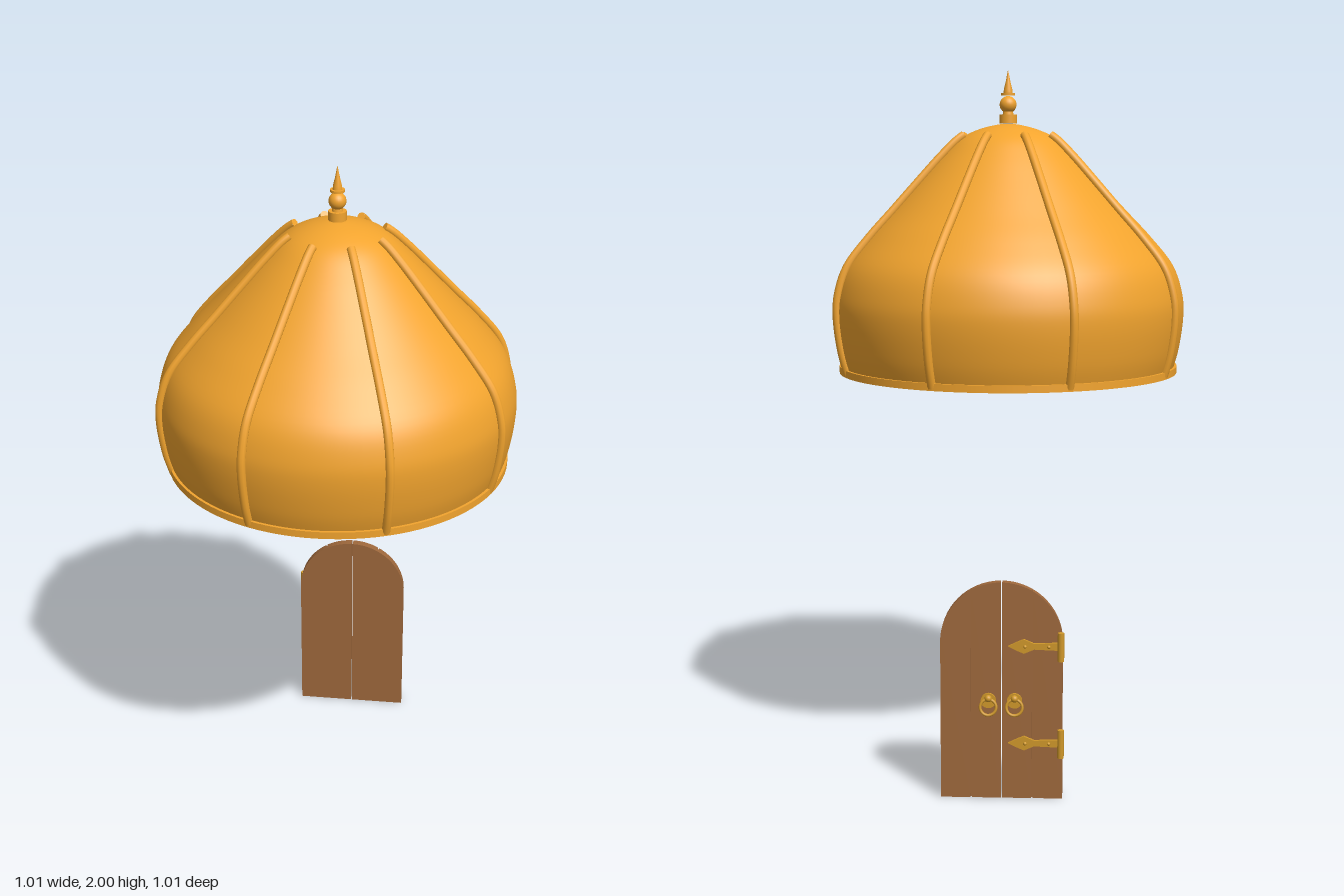
import * as THREE from 'three';

const gold = new THREE.MeshStandardMaterial({ color: 0xf2a42e });
const brass = new THREE.MeshStandardMaterial({ color: 0xd0982a });
const wood = new THREE.MeshStandardMaterial({ color: 0x9e683c });

// Dome radius and height, from rim to apex
const domeCurve = new THREE.SplineCurve([
  [0.474, 1.145], [0.492, 1.21], [0.504, 1.3], [0.5, 1.37], [0.472, 1.45], [0.408, 1.53],
  [0.337, 1.605], [0.262, 1.685], [0.195, 1.755], [0.14, 1.805], [0.085, 1.832], [0.03, 1.846], [0, 1.848],
].map(([r, y]) => new THREE.Vector2(r, y)));

function add(parent, name, geometry, material, x = 0, y = 0, z = 0) {
  const mesh = new THREE.Mesh(geometry, material);
  mesh.name = name;
  mesh.position.set(x, y, z);
  parent.add(mesh);
  return mesh;
}

function makeRoof() {
  const roof = new THREE.Group();
  roof.name = 'roof';
  add(roof, 'dome', new THREE.LatheGeometry(domeCurve.getPoints(60), 96), gold);
  add(roof, 'rimBand', new THREE.CylinderGeometry(0.487, 0.487, 0.02, 96), gold, 0, 1.152);

  // Eight ribs following the dome, stopping short of the apex
  const path = domeCurve.getPoints(60).filter((p) => p.x > 0.122)
    .map((p) => new THREE.Vector3(p.x + 0.004, p.y + 0.004, 0));
  const curve = new THREE.CatmullRomCurve3(path);
  const tube = new THREE.TubeGeometry(curve, 60, 0.012, 10);
  const ends = [0, 1].map((t) => ({ point: curve.getPoint(t), dir: curve.getTangent(t).multiplyScalar(t ? 1 : -1) }));
  for (let i = 0; i < 8; i++) {
    const rib = new THREE.Group();
    rib.name = 'rib';
    add(rib, 'ribBar', tube, gold);
    for (const { point, dir } of ends) {
      const cap = add(rib, 'ribEnd', new THREE.CircleGeometry(0.012, 10), gold, point.x, point.y, point.z);
      cap.quaternion.setFromUnitVectors(new THREE.Vector3(0, 0, 1), dir);
    }
    rib.rotation.y = ((i + 0.5) * Math.PI) / 4;
    roof.add(rib);
  }

  // Finial: collar, ball, disc and spike
  const finial = new THREE.Group();
  finial.name = 'finial';
  add(finial, 'collar', new THREE.CylinderGeometry(0.025, 0.025, 0.025, 32), gold, 0, 1.862);
  add(finial, 'neck', new THREE.CylinderGeometry(0.013, 0.016, 0.02, 24), gold, 0, 1.88);
  add(finial, 'ball', new THREE.SphereGeometry(0.024, 24, 16), gold, 0, 1.902);
  add(finial, 'disc', new THREE.CylinderGeometry(0.02, 0.02, 0.007, 24), gold, 0, 1.931);
  add(finial, 'spike', new THREE.LatheGeometry([[0.013, 1.932], [0.012, 1.945], [0.007, 1.965], [0.003, 1.985], [0, 2]]
    .map(([r, y]) => new THREE.Vector2(r, y)), 20), gold);
  roof.add(finial);
  return roof;
}

// Vertical strip of an arched door between x0 and x1
function archStrip(x0, x1, depth) {
  const R = 0.168, spring = 0.444, n = 16;
  const points = [new THREE.Vector2(x0, 0), new THREE.Vector2(x1, 0)];
  const a1 = Math.acos(x1 / R), a0 = Math.acos(x0 / R);
  for (let i = 0; i <= n; i++) {
    const a = a1 + ((a0 - a1) * i) / n;
    points.push(new THREE.Vector2(R * Math.cos(a), spring + R * Math.sin(a)));
  }
  return new THREE.ExtrudeGeometry(new THREE.Shape(points), { depth, bevelEnabled: false });
}

function makeHinge(y) {
  const hinge = new THREE.Group();
  hinge.name = 'hinge';
  hinge.position.set(0, y, -0.41);
  const half = [[-0.165, 0.011], [-0.09, 0.008], [-0.062, 0.02], [-0.045, 0.013], [-0.018, 0]];
  const outline = [...half, ...half.slice(0, -1).reverse().map(([x, h]) => [x, -h])];
  const shape = new THREE.Shape(outline.map(([x, h]) => new THREE.Vector2(x, h)));
  add(hinge, 'strap', new THREE.ExtrudeGeometry(shape, { depth: 0.009, bevelEnabled: false }), brass, 0, 0, -0.008);
  add(hinge, 'barrel', new THREE.CylinderGeometry(0.009, 0.009, 0.08, 16), brass, -0.163, 0, -0.009);
  for (const x of [-0.13, -0.065]) {
    add(hinge, 'rivet', new THREE.SphereGeometry(0.005, 12, 8), brass, x, 0, -0.009);
  }
  return hinge;
}

function makeDoor() {
  const door = new THREE.Group();
  door.name = 'door';
  // Two leaves, each faced with two planks on the outside
  for (const side of [-1, 1]) {
    const [x0, x1] = side < 0 ? [-0.168, -0.002] : [0.002, 0.168];
    add(door, 'leaf', archStrip(x0, x1, 0.015), wood, 0, 0, -0.401);
    const middle = side * 0.084;
    add(door, 'plank', archStrip(x0, middle - 0.002, 0.009), wood, 0, 0, -0.41);
    add(door, 'plank', archStrip(middle + 0.002, x1, 0.009), wood, 0, 0, -0.41);

    // Ring pull on a round plate
    const x = side * 0.036;
    const plate = add(door, 'pullPlate', new THREE.CylinderGeometry(0.021, 0.021, 0.008, 24), brass, x, 0.28, -0.413);
    plate.rotation.x = Math.PI / 2;
    add(door, 'pullKnob', new THREE.SphereGeometry(0.01, 16, 12), brass, x, 0.288, -0.421);
    const ring = add(door, 'pullRing', new THREE.TorusGeometry(0.022, 0.004, 10, 28), brass, x, 0.264, -0.424);
    ring.rotation.x = 0.15;
  }
  door.add(makeHinge(0.16), makeHinge(0.435));
  return door;
}

export function createModel() {
  const model = new THREE.Group();
  model.name = 'domedHut';
  model.add(makeRoof(), makeDoor());
  return model;
}
